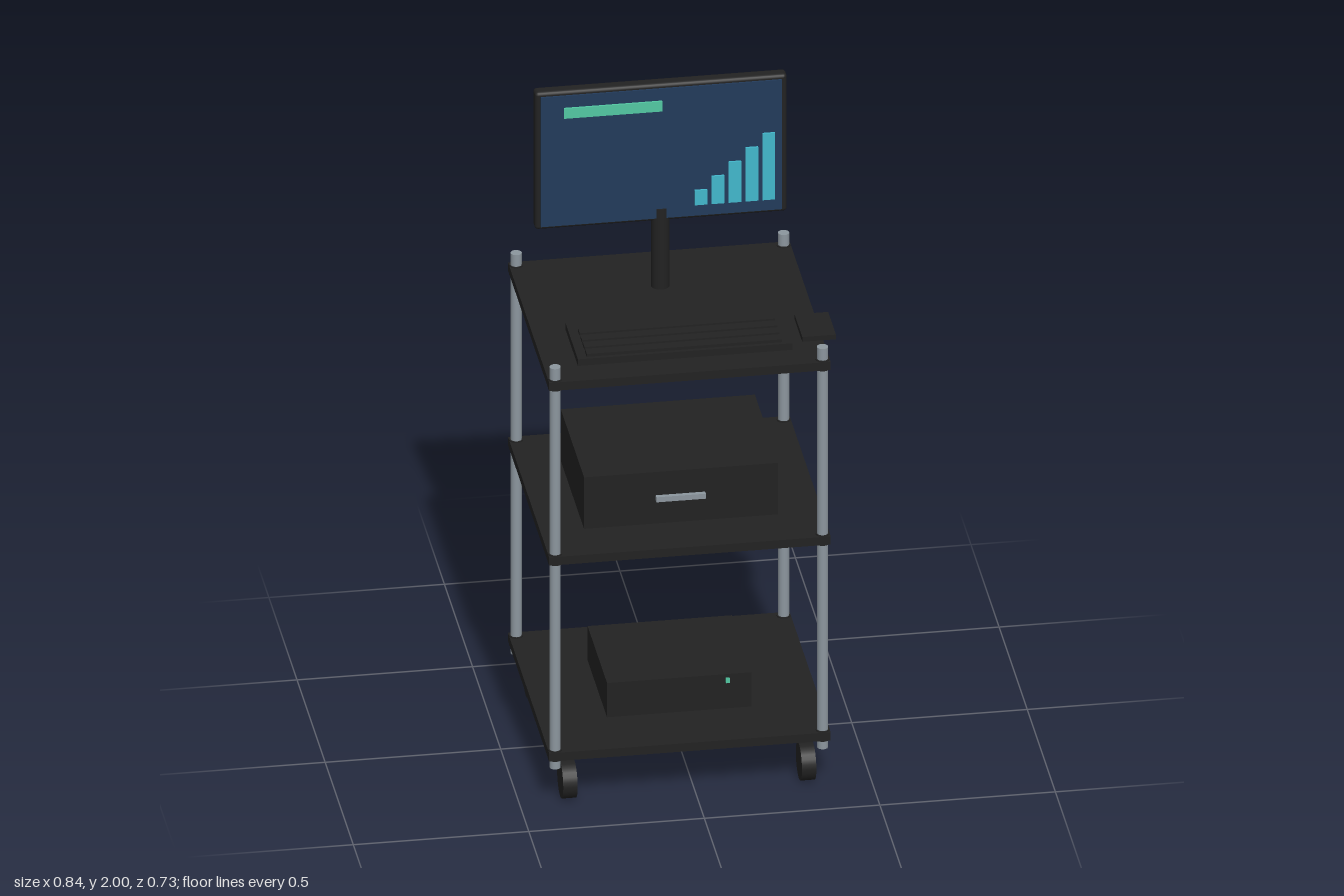
import * as THREE from 'three';
import { RoundedBoxGeometry } from 'three/addons/geometries/RoundedBoxGeometry.js';

const material = (name, color) => {
  const m = new THREE.MeshStandardMaterial({ color });
  m.name = name;
  return m;
};

export function createModel() {
  const black = material('black', 0x222222);
  const steel = material('steel', 0x8c969e);
  const navy = material('screenNavy', 0x223b5b);
  const cyan = material('chartCyan', 0x42b8cc);
  const green = material('indicatorGreen', 0x52c8a2);

  const model = new THREE.Group();
  model.name = 'computerCart';

  const add = (name, geometry, mat, x, y, z) => {
    const mesh = new THREE.Mesh(geometry, mat);
    mesh.name = name;
    mesh.position.set(x, y, z);
    model.add(mesh);
    return mesh;
  };
  // Box given by its limits on each axis
  const box = (name, mat, [x0, x1], [y0, y1], [z0, z1]) =>
    add(name, new THREE.BoxGeometry(x1 - x0, y1 - y0, z1 - z0), mat,
      (x0 + x1) / 2, (y0 + y1) / 2, (z0 + z1) / 2);

  const cx = -0.019, cz = -0.003;
  const shelfHeights = [0.157, 0.781, 1.337];

  // Shelves
  for (const y of shelfHeights) {
    box('shelf', black, [cx - 0.401, cx + 0.401], [y - 0.013, y + 0.013], [cz - 0.366, cz + 0.366]);
  }

  // Corner posts, shelf collars and wheels
  const postGeometry = new THREE.CylinderGeometry(0.016, 0.016, 1.275, 16);
  const collarGeometry = new THREE.CylinderGeometry(0.02, 0.02, 0.032, 16);
  const wheelGeometry = new THREE.CylinderGeometry(0.055, 0.055, 0.041, 24).rotateZ(Math.PI / 2);
  for (const sx of [-1, 1]) {
    for (const sz of [-1, 1]) {
      const x = cx + sx * 0.381, z = cz + sz * 0.346;
      add('post', postGeometry, steel, x, 0.7525, z);
      for (const y of shelfHeights) add('collar', collarGeometry, black, x, y, z);
      add('wheel', wheelGeometry, black, cx + sx * 0.34, 0.055, sz * 0.306);
    }
  }

  // Small computer on the bottom shelf
  box('computer', black, [-0.225, 0.186], [0.17, 0.279], [-0.171, 0.175]);
  box('powerLight', green, [0.113, 0.124], [0.252, 0.268], [0.173, 0.179]);

  // Drawer unit on the middle shelf
  box('drawer', black, [-0.296, 0.257], [0.794, 0.958], [-0.205, 0.209]);
  box('drawerHandle', steel, [-0.092, 0.049], [0.868, 0.884], [0.207, 0.222]);

  // Keyboard with four key rows
  box('keyboard', black, [-0.324, 0.287], [1.348, 1.371], [0.053, 0.275]);
  for (let i = 0; i < 4; i++) {
    const z = 0.122 + i * 0.042;
    box('keyRow', black, [-0.297, 0.259], [1.369, 1.38], [z - 0.016, z + 0.016]);
  }

  // Side plate for the mouse
  box('mousePlate', black, [0.322, 0.418], [1.35, 1.365], [0.094, 0.232]);

  // Monitor and its pole
  add('monitorPole', new THREE.CylinderGeometry(0.026, 0.026, 0.26, 16), black, -0.019, 1.475, -0.165);
  add('monitor', new RoundedBoxGeometry(0.718, 0.436, 0.04, 2, 0.01), black, cx, 1.782, -0.169);
  box('screen', navy, [-0.362, 0.324], [1.575, 1.987], [-0.15, -0.144]);

  // Screen graphics
  box('titleBar', green, [-0.297, -0.017], [1.918, 1.95], [-0.144, -0.138]);
  for (let i = 0; i < 5; i++) {
    const x = 0.093 + i * 0.0483;
    box('chartBar', cyan, [x - 0.018, x + 0.018], [1.611, 1.658 + i * 0.0412], [-0.144, -0.138]);
  }

  return model;
}
